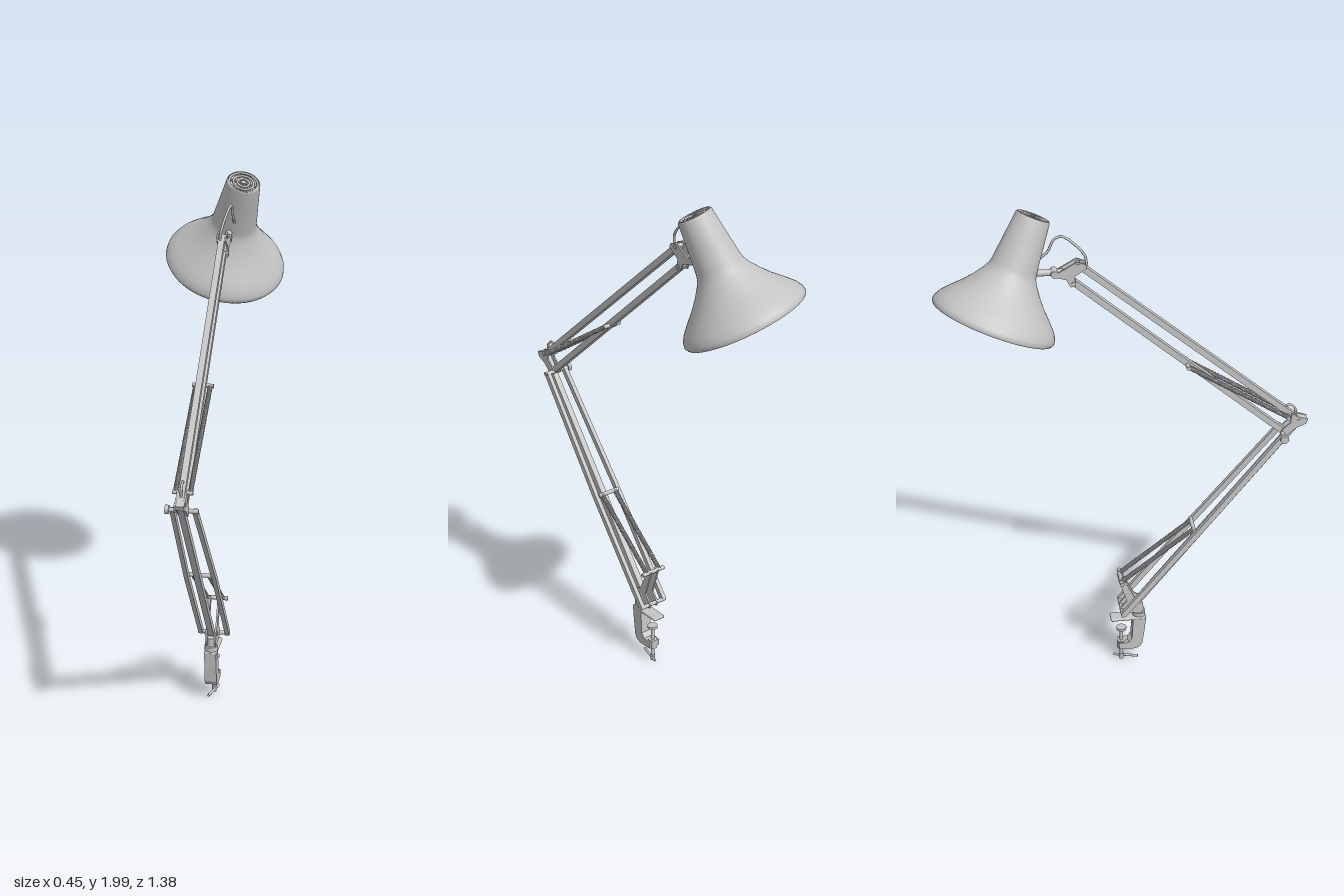
import * as THREE from 'three';
import { RoundedBoxGeometry } from 'three/addons/geometries/RoundedBoxGeometry.js';

const CX = 0.04; // plane of the arm
const V = (x, y, z) => new THREE.Vector3(x, y, z);
const P = (z, y, off = 0) => V(CX + off, y, z); // point given in the arm plane
const UP = V(0, 1, 0);

export function createModel() {
  const model = new THREE.Group();
  const mat = (name, color, side = THREE.FrontSide) => {
    const m = new THREE.MeshStandardMaterial({ color, side });
    m.name = name;
    return m;
  };
  const grey = mat('lampGrey', 0xc4c4c4, THREE.DoubleSide);
  const cream = mat('bulbCream', 0xeeebcf);

  const add = (name, geo, parent = model, material = grey) => {
    const m = new THREE.Mesh(geo, material);
    m.name = name;
    parent.add(m);
    return m;
  };
  const between = (mesh, a, b) => {
    mesh.position.copy(a).add(b).multiplyScalar(0.5);
    mesh.quaternion.setFromUnitVectors(UP, b.clone().sub(a).normalize());
    return mesh;
  };
  // square bar and round rod between two points
  const bar = (name, a, b, w, d = w) =>
    between(add(name, new THREE.BoxGeometry(w, a.distanceTo(b), d)), a, b);
  const rod = (name, a, b, r) =>
    between(add(name, new THREE.CylinderGeometry(r, r, a.distanceTo(b), 16)), a, b);
  // pin across the arm
  const pin = (z, y, half) => rod('pin', P(z, y, -half), P(z, y, half), 0.008);
  // flat plate drawn in the arm plane as [z, y] points
  const plate = (name, pts, off, t) => {
    const shape = new THREE.Shape(pts.map(([z, y]) => new THREE.Vector2(z, y)));
    const g = new THREE.ExtrudeGeometry(shape, { depth: t, bevelEnabled: false });
    g.rotateY(-Math.PI / 2).translate(CX + off + t / 2, 0, 0);
    return add(name, g);
  };
  const tube = (name, pts, r) =>
    add(name, new THREE.TubeGeometry(new THREE.CatmullRomCurve3(pts), 32, r, 8));
  // tightly wound coil spring around a core
  const spring = (a, b, r, wire) => {
    const len = a.distanceTo(b), turns = Math.round(len / (wire * 2.2)), n = turns * 10;
    const pts = [];
    for (let i = 0; i <= n; i++) {
      const t = (i / n) * turns * Math.PI * 2;
      pts.push(V(r * Math.cos(t), (i / n - 0.5) * len, r * Math.sin(t)));
    }
    const curve = new THREE.CatmullRomCurve3(pts);
    curve.arcLengthDivisions = n * 2;
    between(add('spring', new THREE.TubeGeometry(curve, n, wire, 5)), a, b);
    rod('springCore', a, b, r);
  };

  // ---- Lamp head, built along its own axis from the rim upwards
  const head = new THREE.Group();
  head.name = 'lampHead';
  const rim = V(-0.004, 1.608, -0.481), top = V(0.095, 1.972, -0.315);
  head.position.copy(rim);
  head.quaternion.setFromUnitVectors(UP, top.clone().sub(rim).normalize());
  model.add(head);
  const outer = [[0.224, 0], [0.229, 0.008], [0.227, 0.022], [0.214, 0.044], [0.188, 0.073], [0.155, 0.106],
    [0.125, 0.142], [0.101, 0.176], [0.089, 0.198], [0.084, 0.216], [0.073, 0.31], [0.063, 0.401], [0.059, 0.406]];
  const lathe = (pts) => new THREE.LatheGeometry(pts.map(([r, y]) => new THREE.Vector2(r, y)), 64);
  add('shadeOuter', lathe(outer), head);
  add('shadeInner', lathe(outer.map(([r, y]) => [r - 0.006, y]).reverse()), head);
  add('shadeRim', lathe([[0.218, 0], [0.224, 0]]), head);
  // vented top
  add('capFloor', new THREE.CylinderGeometry(0.057, 0.057, 0.006, 32), head).position.y = 0.39;
  for (const r of [0.054, 0.038, 0.022]) {
    const ring = add('ventRing', new THREE.TorusGeometry(r, 0.0045, 8, 40), head);
    ring.rotation.x = Math.PI / 2;
    ring.position.y = 0.402;
  }
  for (let i = 0; i < 3; i++) {
    const rib = add('ventRib', new THREE.BoxGeometry(0.104, 0.006, 0.005), head);
    rib.position.y = 0.398;
    rib.rotation.y = (i * Math.PI) / 3;
  }
  add('ventCentre', new THREE.CylinderGeometry(0.009, 0.009, 0.014, 16), head).position.y = 0.398;
  // bulb and socket
  add('bulb', new THREE.SphereGeometry(0.066, 32, 20), head, cream).position.y = 0.105;
  add('socket', new THREE.CylinderGeometry(0.03, 0.035, 0.16, 24), head).position.y = 0.24;

  // ---- Head joint
  for (const s of [-1, 1]) {
    plate('headBracket', [[-0.14, 1.785], [-0.145, 1.8], [-0.175, 1.812], [-0.245, 1.772], [-0.25, 1.755],
      [-0.215, 1.745], [-0.2, 1.715], [-0.18, 1.715], [-0.185, 1.755]], s * 0.015, 0.006);
  }
  rod('headNeck', P(-0.225, 1.768), P(-0.325, 1.771), 0.012);
  pin(-0.172, 1.797, 0.021);
  pin(-0.188, 1.728, 0.021);
  rod('headKnob', P(-0.255, 1.768, -0.02), P(-0.255, 1.768, 0.02), 0.014);
  tube('headCable', [P(-0.14, 1.79, -0.005), P(-0.145, 1.825), P(-0.18, 1.868, 0.01), P(-0.225, 1.897, 0.02),
    P(-0.252, 1.885, 0.022), P(-0.275, 1.84, 0.022), P(-0.305, 1.815, 0.022)], 0.0048);

  // ---- Upper arm
  bar('upperArmTop', P(-0.172, 1.797), P(0.655, 1.08), 0.023);
  bar('upperArmBottom', P(-0.188, 1.728), P(0.595, 1.035), 0.023);
  for (const s of [-1, 1]) spring(P(0.61, 1.105, s * 0.026), P(0.225, 1.357, s * 0.026), 0.0065, 0.003);
  pin(0.61, 1.105, 0.036);
  pin(0.225, 1.357, 0.038);

  // ---- Elbow
  for (const s of [-1, 1]) {
    plate('elbowBracket', [[0.688, 1.085], [0.68, 1.065], [0.645, 1.05], [0.605, 1.015], [0.585, 1.022],
      [0.59, 1.045], [0.622, 1.075], [0.625, 1.115], [0.645, 1.1]], s * 0.015, 0.006);
  }
  plate('elbowSpacer', [[0.687, 1.084], [0.679, 1.066], [0.645, 1.052], [0.645, 1.098]], 0, 0.026);
  pin(0.655, 1.08, 0.02);
  pin(0.592, 1.03, 0.052);
  rod('elbowKnob', P(0.592, 1.03, -0.066), P(0.592, 1.03, -0.052), 0.016);
  tube('elbowCable', [P(0.645, 1.09), P(0.638, 1.13), P(0.615, 1.146), P(0.595, 1.13), P(0.588, 1.105)], 0.0045);

  // ---- Lower arm: one central bar, two outer bars that close in towards the elbow
  bar('lowerArmCentre', P(0.655, 1.075), P(0.045, 0.285), 0.023);
  for (const s of [-1, 1]) {
    const knee = P(0.275, 0.63, s * 0.052);
    bar('lowerArmOuter', P(-0.02, 0.258, s * 0.052), knee, 0.016, 0.022);
    bar('lowerArmOuter', knee, P(0.592, 1.03, s * 0.04), 0.016, 0.022);
    spring(P(0.258, 0.63, s * 0.03), P(-0.023, 0.405, s * 0.03), 0.007, 0.003);
  }
  pin(0.258, 0.63, 0.046);
  pin(-0.023, 0.405, 0.052);
  pin(-0.02, 0.258, 0.06);
  pin(0.045, 0.285, 0.025);

  // ---- Base bracket
  for (const s of [-1, 1]) {
    plate('baseBracket', [[-0.015, 0.415], [-0.035, 0.408], [0.0, 0.3], [-0.03, 0.262], [-0.025, 0.245],
      [0.06, 0.235], [0.068, 0.255], [0.06, 0.295], [0.03, 0.315]], s * 0.017, 0.007);
  }
  rod('swivelPost', P(0.05, 0.2), P(0.05, 0.27), 0.016);
  rod('swivelCollar', P(0.05, 0.218), P(0.05, 0.236), 0.026);

  // ---- Table clamp
  const jaw = add('clampTopPlate', new RoundedBoxGeometry(0.05, 0.012, 0.14, 2, 0.005));
  jaw.position.copy(P(0.006, 0.21));
  plate('clampBody', [[0.076, 0.212], [0.07, 0.15], [0.062, 0.085], [0.05, 0.066], [0.03, 0.06], [-0.03, 0.062],
    [-0.033, 0.09], [0.005, 0.092], [0.02, 0.11], [0.025, 0.212]], 0, 0.046);
  rod('clampScrew', P(-0.02, 0.012), P(-0.02, 0.155), 0.007);
  rod('clampPad', P(-0.02, 0.148), P(-0.02, 0.158), 0.02);
  rod('screwBoss', P(-0.02, 0.058), P(-0.02, 0.095), 0.018);
  rod('screwHandle', P(0.045, 0.012, -0.012), P(-0.05, 0.012, 0.012), 0.005);
  rod('handleHub', P(-0.02, 0), P(-0.02, 0.024), 0.009);

  return model;
}
